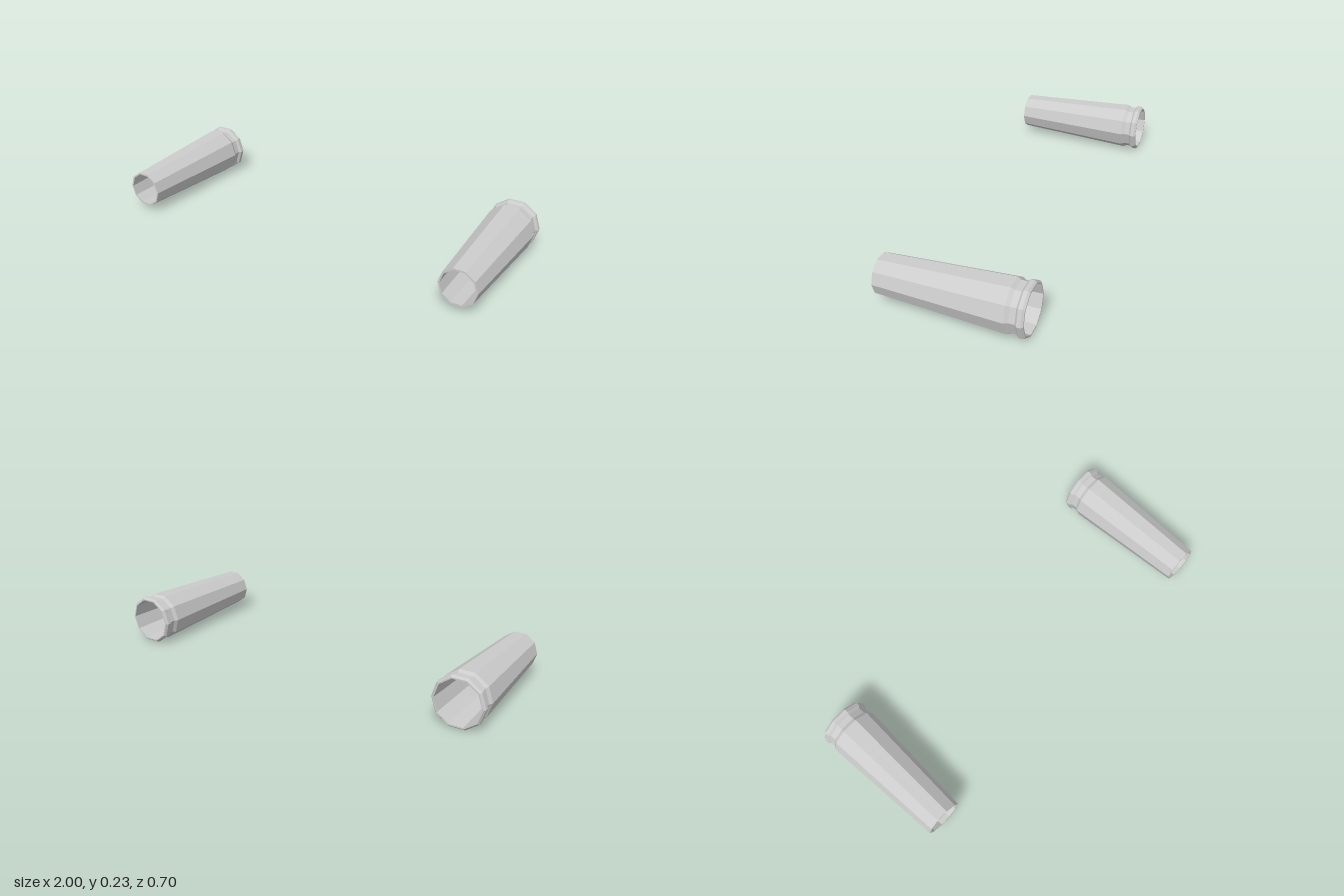
import * as THREE from 'three';

const SIDES = 10;
const CENTRE_Y = 0.1175;
const CENTRE_X = 0.8765;

// Closed wall section as [radius, z]: up the outside, back down the bore
const section = [
  [0.1155, -0.343], // rear lip
  [0.1235, -0.333],
  [0.1235, -0.316],
  [0.112, -0.306], // groove
  [0.112, -0.278],
  [0.1215, -0.261], // tapered barrel
  [0.0915, 0.343], // front mouth
  [0.083, 0.343],
  [0.107, -0.29], // bore
  [0.109, -0.343],
  [0.1155, -0.343],
];

function makeTube(name, x, z, material) {
  const points = section.map(([r, h]) => new THREE.Vector2(r, h));
  const geometry = new THREE.LatheGeometry(points, SIDES, Math.PI / 2);
  geometry.rotateX(Math.PI / 2); // lay the axis along z
  const tube = new THREE.Mesh(geometry, material);
  tube.name = name;
  tube.position.set(x, CENTRE_Y, z);
  return tube;
}

export function createModel() {
  const group = new THREE.Group();
  group.name = 'taperedTubePair';
  const material = new THREE.MeshStandardMaterial({ color: 0xcccccc, flatShading: true });
  // The two tubes sit very slightly staggered front to back
  group.add(makeTube('leftTube', CENTRE_X, -0.005, material));
  group.add(makeTube('rightTube', -CENTRE_X, 0.005, material));
  return group;
}
